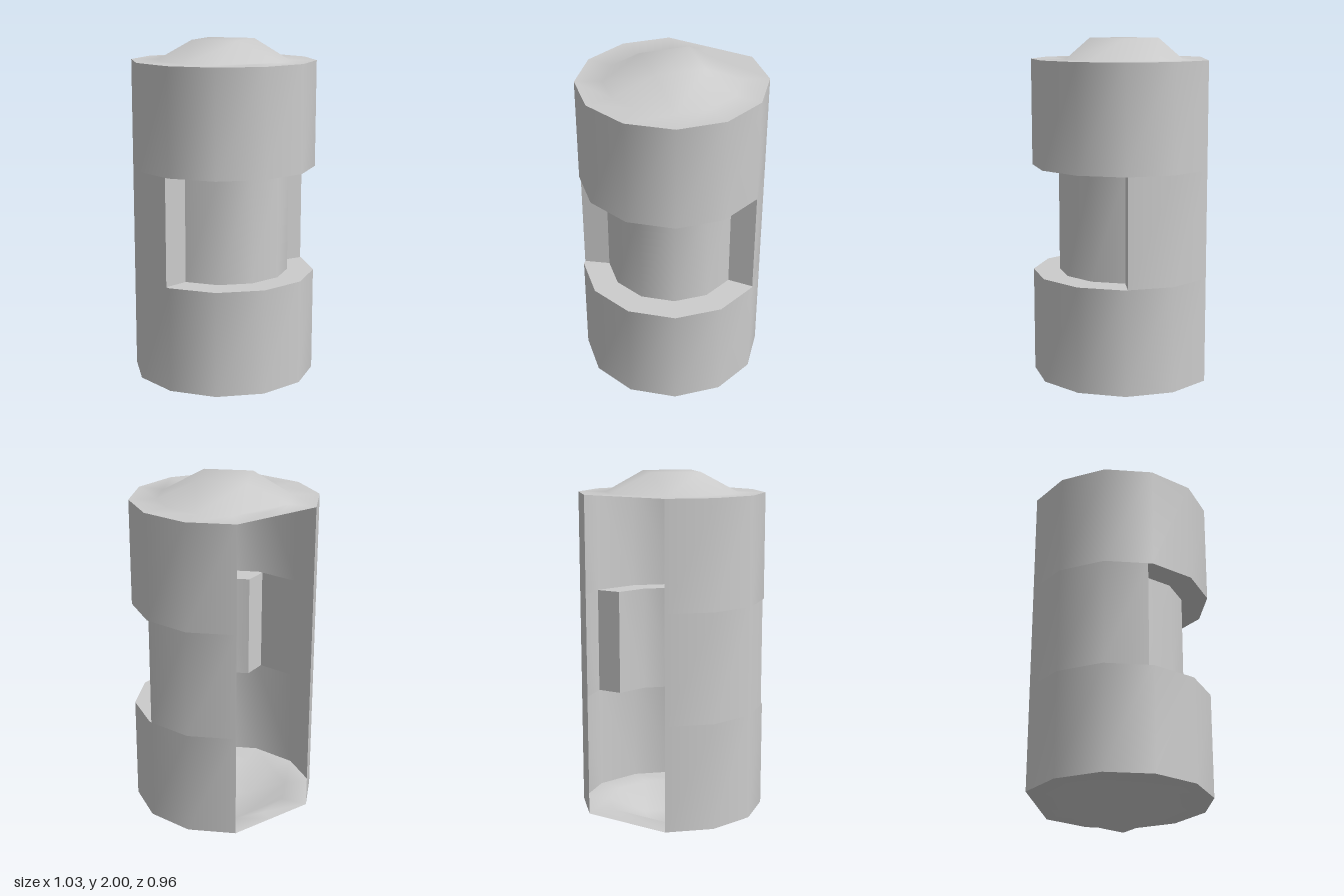
import * as THREE from 'three';

const OUTER = 0.513, INNER = 0.365, TOP = 0.19;   // radii
const WALL = 0.887, NOTCH = 0.3;                  // half heights about the middle

// Point on a twelve-sided ring; t counts sides from the front towards +x.
function ringPoint(r, t, y) {
  const corner = k => new THREE.Vector3(r * Math.sin(k * Math.PI / 6), y, r * Math.cos(k * Math.PI / 6));
  const k = Math.floor(t);
  return corner(k).lerp(corner(k + 1), t - k);
}
const ring = (r, ts, y) => ts.map(t => ringPoint(r, t, y));

function build(points, index) {
  const geo = new THREE.BufferGeometry().setFromPoints(points);
  geo.setIndex(index);
  geo.computeVertexNormals();
  return geo;
}

// Smooth band of quads between two rows of points
function ribbon(a, b) {
  const n = a.length, index = [];
  for (let i = 0; i < n - 1; i++) index.push(i, i + 1, n + i + 1, i, n + i + 1, n + i);
  return build([...a, ...b], index);
}

// End cap: flat rim, then a bevelled dome rising to a diamond-shaped flat top
function capGeometry() {
  const ts = [...Array(12).keys()];
  const outer = ring(OUTER, ts, WALL);
  outer[6].copy(outer[5]).lerp(outer[7], 0.5);    // straight edge over the open back
  const points = [...outer, ...ring(INNER, ts, WALL), ...ring(TOP, [0, 3, 6, 9], 1)];
  const base = k => 12 + (k + 12) % 12, top = q => 24 + q % 4;
  const index = [];
  for (let k = 0; k < 12; k++) {
    const n = (k + 1) % 12;
    index.push(k, n, base(n), k, base(n), base(k));
  }
  for (let q = 0; q < 4; q++) {
    const k = q * 3;
    index.push(base(k + 1), base(k + 2), top(q + 1), base(k + 1), top(q + 1), top(q));
    if (q % 2 === 0) index.push(base(k - 1), base(k), base(k + 1), base(k - 1), base(k + 1), top(q));
    else index.push(base(k - 1), base(k), top(q), base(k), base(k + 1), top(q));
  }
  index.push(24, 25, 26, 24, 26, 27);
  return build(points, index);
}

export function createModel() {
  const grey = new THREE.MeshStandardMaterial({ color: 0xcccccc, side: THREE.DoubleSide });
  grey.name = 'light grey';
  const model = new THREE.Group();
  model.name = 'openCanister';
  const body = new THREE.Group();
  body.name = 'body';
  body.position.set(0, 1, -0.035);
  model.add(body);
  const add = (name, geo) => {
    const mesh = new THREE.Mesh(geo, grey);
    mesh.name = name;
    body.add(mesh);
    return mesh;
  };

  // Outer wall, open at the back and notched at the front
  const wall = (name, ts, y0, y1) => add(name, ribbon(ring(OUTER, ts, y0), ring(OUTER, ts, y1)));
  const around = [-5, -4, -3, -2, -1, 0, 1, 2, 3, 4, 5];
  wall('lowerWall', around, -WALL, -NOTCH);
  wall('upperWall', around, NOTCH, WALL);
  wall('rightWall', [-5, -4, -3, -2.1], -NOTCH, NOTCH);
  wall('leftWall', [3.04, 4, 5], -NOTCH, NOTCH);

  // Recess behind the notch
  const outerTs = [-2.1, -2, -1, 0, 1, 2, 3, 3.04], innerTs = [-2, -2, -1, 0, 1, 2, 3, 3];
  const rim = y => ring(OUTER, outerTs, y), core = y => ring(INNER, innerTs, y);
  const innerWall = innerTs.slice(1, -1);
  add('recessWall', ribbon(ring(INNER, innerWall, -NOTCH), ring(INNER, innerWall, NOTCH)));
  add('recessFloor', ribbon(rim(-NOTCH), core(-NOTCH)));
  add('recessCeiling', ribbon(core(NOTCH), rim(NOTCH)));
  const side = (i, y) => [rim(y)[i], core(y)[i]];
  add('recessRightSide', ribbon(side(0, -NOTCH), side(0, NOTCH)));
  add('recessLeftSide', ribbon(side(7, -NOTCH).reverse(), side(7, NOTCH).reverse()));

  // Matching caps at both ends
  add('topCap', capGeometry());
  add('bottomCap', capGeometry()).rotation.z = Math.PI;

  return model;
}
